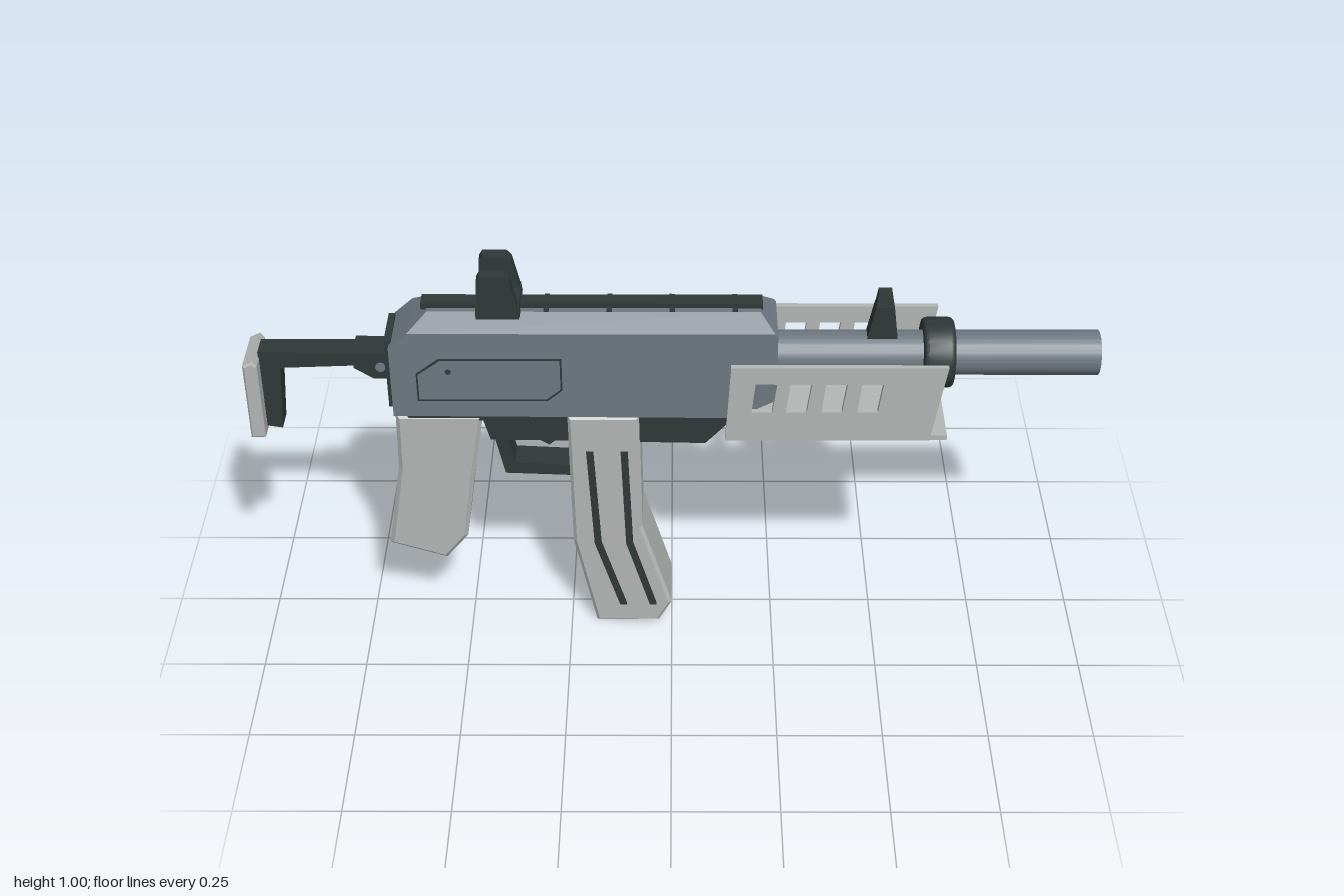
import * as THREE from 'three';
import { toCreasedNormals } from 'three/addons/utils/BufferGeometryUtils.js';

const paint = (name, color) => Object.assign(new THREE.MeshStandardMaterial({ color }), { name });

export function createModel() {
  const model = new THREE.Group();
  model.name = 'model';
  const steel = paint('blue grey steel', 0x6f7882);
  const dark = paint('dark metal', 0x303938);
  const light = paint('light grey panels', 0xb3b7b5);

  const add = (name, geometry, material) => {
    const mesh = new THREE.Mesh(geometry, material);
    mesh.name = name;
    model.add(mesh);
    return mesh;
  };
  const outline = (pts) => new THREE.Shape(pts.map(([x, y]) => new THREE.Vector2(x, y)));

  // Side profile extruded between two z values, with optional holes and bevel
  const slab = (name, pts, z0, z1, material, bevel = 0, holes = []) => {
    const shape = outline(pts);
    holes.forEach((h) => shape.holes.push(outline(h)));
    const g = new THREE.ExtrudeGeometry(shape, {
      depth: z1 - z0 - 2 * bevel, bevelEnabled: bevel > 0, bevelSegments: 1,
      bevelSize: bevel, bevelThickness: bevel, bevelOffset: -bevel,
    });
    return add(name, g.translate(0, 0, z0 + bevel), material);
  };
  const box = (name, x0, x1, y0, y1, z0, z1, material) => add(name,
    new THREE.BoxGeometry(x1 - x0, y1 - y0, z1 - z0)
      .translate((x0 + x1) / 2, (y0 + y1) / 2, (z0 + z1) / 2), material);

  // Box whose top face is replaced by a smaller rectangle
  const taper = (name, b, t, material) => {
    const g = new THREE.BoxGeometry(1, 1, 1).toNonIndexed();
    const p = g.attributes.position;
    for (let i = 0; i < p.count; i++) {
      const r = p.getY(i) > 0 ? t : b;
      p.setXYZ(i, p.getX(i) > 0 ? r.x1 : r.x0, r.y, Math.sign(p.getZ(i)) * r.z);
    }
    g.computeVertexNormals();
    return add(name, g, material);
  };

  // Tube along x, hollow when an inner radius is given
  const tube = (name, x0, x1, outer, inner, bevel, material) => {
    const shape = new THREE.Shape().absarc(0, 0, outer, 0, Math.PI * 2);
    if (inner) shape.holes.push(new THREE.Path().absarc(0, 0, inner, 0, Math.PI * 2));
    const g = new THREE.ExtrudeGeometry(shape, {
      depth: x1 - x0 - 2 * bevel, curveSegments: 28, bevelEnabled: bevel > 0, bevelSegments: 3,
      bevelSize: bevel, bevelThickness: bevel, bevelOffset: -bevel,
    });
    g.translate(0, 0, x0 + bevel).rotateY(Math.PI / 2).translate(0, 0.766, 0);
    return add(name, toCreasedNormals(g, 0.6), material);
  };

  // Upper receiver: core with side skins, the right skin cut out for the bolt
  const body = [[-0.655, 0.635], [0.15, 0.63], [0.245, 0.68], [0.245, 0.858], [0.238, 0.865],
    [-0.61, 0.865], [-0.655, 0.825]];
  const port = [[-0.17, 0.72], [0.1, 0.72], [0.2, 0.83], [-0.2, 0.83], [-0.2, 0.75]];
  slab('receiverCore', body, -0.055, 0.055, steel);
  slab('receiverLeftSkin', body, 0.055, 0.077, steel);
  slab('receiverRightSkin', body, -0.077, -0.055, steel, 0, [port]);
  taper('receiverRoof', { x0: -0.61, x1: 0.238, y: 0.865, z: 0.077 },
    { x0: -0.565, x1: 0.205, y: 0.9, z: 0.036 }, steel);
  box('backPlate', -0.666, -0.65, 0.65, 0.835, -0.06, 0.06, dark);
  box('boltHandle', -0.08, 0.01, 0.8, 0.833, -0.146, -0.05, dark);

  // Raised side panels with a rim and a screw
  const panel = [[-0.595, 0.68], [-0.29, 0.68], [-0.255, 0.71], [-0.255, 0.797], [-0.54, 0.797], [-0.595, 0.755]];
  const inset = panel.map(([x, y]) => [-0.425 + (x + 0.425) * 0.975, 0.738 + (y - 0.738) * 0.93]);
  for (const s of [-1, 1]) {
    const z = s * 0.0785;
    slab('sidePanelRim', panel, z - 0.0015, z + 0.0015, dark, 0, [inset]);
    slab('sidePanel', inset, z - 0.0015, z + 0.0015, steel);
    add('panelScrew', new THREE.CylinderGeometry(0.007, 0.007, 0.004, 10)
      .rotateX(Math.PI / 2).translate(-0.52, 0.762, s * 0.079), dark);
  }

  // Lower receiver
  slab('lowerReceiver', [[-0.63, 0.645], [-0.62, 0.625], [-0.445, 0.62], [-0.43, 0.565], [0.08, 0.555],
    [0.13, 0.61], [0.145, 0.645]], -0.074, 0.074, dark);

  // Top rail with small cross pins
  box('topRail', -0.58, 0.21, 0.895, 0.912, -0.02, 0.02, dark);
  for (let i = 0; i < 5; i++) {
    const x = -0.44 + i * 0.145;
    box('railPin', x, x + 0.012, 0.892, 0.904, -0.036, 0.036, dark);
  }

  // Rear sight: base and two ears
  box('rearSightBase', -0.45, -0.35, 0.895, 0.922, -0.061, 0.061, dark);
  for (const s of [-1, 1]) {
    slab('rearSightEar', [[-0.447, 0.9], [-0.348, 0.9], [-0.37, 0.995], [-0.382, 1.008], [-0.437, 1.008], [-0.445, 0.995]],
      s * 0.046 - 0.0155, s * 0.046 + 0.0155, dark);
  }

  // Barrel, bore floor and collar
  tube('barrel', 0.2, 1.0, 0.053, 0.042, 0, steel);
  tube('boreFloor', 0.8, 0.85, 0.0425, 0, 0, dark);
  tube('collar', 0.585, 0.66, 0.083, 0.05, 0.012, dark);

  // Front sight
  taper('frontSightPost', { x0: 0.452, x1: 0.528, y: 0.8, z: 0.02 },
    { x0: 0.472, x1: 0.515, y: 0.9, z: 0.018 }, dark);
  taper('frontSightTip', { x0: 0.472, x1: 0.515, y: 0.9, z: 0.014 },
    { x0: 0.477, x1: 0.508, y: 0.938, z: 0.009 }, dark);

  // Handguard: two windowed side plates on a floor
  const windows = [0.185, 0.265, 0.347, 0.43].map((x) =>
    [[x, 0.69], [x + 0.048, 0.69], [x + 0.058, 0.768], [x + 0.008, 0.768]]);
  for (const s of [-1, 1]) {
    slab('handguardSide', [[0.125, 0.61], [0.602, 0.61], [0.635, 0.813], [0.136, 0.813]],
      s * 0.132 - 0.007, s * 0.132 + 0.007, light, 0, windows);
  }
  box('handguardFloor', 0.14, 0.645, 0.603, 0.616, -0.126, 0.126, light);

  // Magazine with two bent dark ribs on each side
  slab('magazine', [[-0.247, 0.635], [-0.24, 0.26], [-0.187, 0.006], [-0.032, 0.006], [0, 0.065],
    [-0.071, 0.305], [-0.076, 0.635]], -0.081, 0.081, light, 0.008);
  const ribs = [[[-0.195, 0.535], [-0.18, 0.26], [-0.12, 0.065]], [[-0.113, 0.535], [-0.103, 0.26], [-0.046, 0.065]]];
  for (const rib of ribs) {
    const edge = (d) => rib.map(([x, y]) => [x + d, y]);
    for (const z of [-0.083, 0.083]) {
      slab('magazineRib', [...edge(-0.0085), ...edge(0.0085).reverse()], z - 0.0045, z + 0.0045, dark);
    }
  }

  // Grip
  slab('grip', [[-0.652, 0.635], [-0.655, 0.48], [-0.692, 0.248], [-0.555, 0.202], [-0.5, 0.27],
    [-0.476, 0.44], [-0.445, 0.635]], -0.076, 0.076, light, 0.01);

  // Trigger guard and trigger
  slab('triggerGuard', [[-0.43, 0.57], [-0.402, 0.437], [-0.23, 0.43], [-0.23, 0.46], [-0.378, 0.468], [-0.4, 0.57]],
    -0.035, 0.035, dark);
  slab('trigger', [[-0.285, 0.57], [-0.288, 0.54], [-0.315, 0.52], [-0.295, 0.507], [-0.262, 0.535], [-0.25, 0.57]],
    -0.015, 0.015, dark);

  // Folding stock: hinge, arm, upright and shoulder pad
  slab('stockHinge', [[-0.745, 0.745], [-0.7, 0.715], [-0.65, 0.715], [-0.65, 0.785], [-0.745, 0.785]],
    -0.038, 0.038, dark);
  add('hingePin', new THREE.CylinderGeometry(0.012, 0.012, 0.084, 12)
    .rotateX(Math.PI / 2).translate(-0.682, 0.748, 0), steel);
  slab('stockArm', [[-0.968, 0.572], [-0.93, 0.566], [-0.918, 0.738], [-0.74, 0.745], [-0.74, 0.782], [-0.968, 0.782]],
    -0.028, 0.028, dark);
  slab('shoulderPad', [[-1, 0.562], [-0.966, 0.562], [-0.966, 0.765], [-0.975, 0.778], [-1, 0.766]],
    -0.067, 0.067, light, 0.005);

  model.children.forEach((part) => { part.position.z = 0.003; });
  return model;
}
